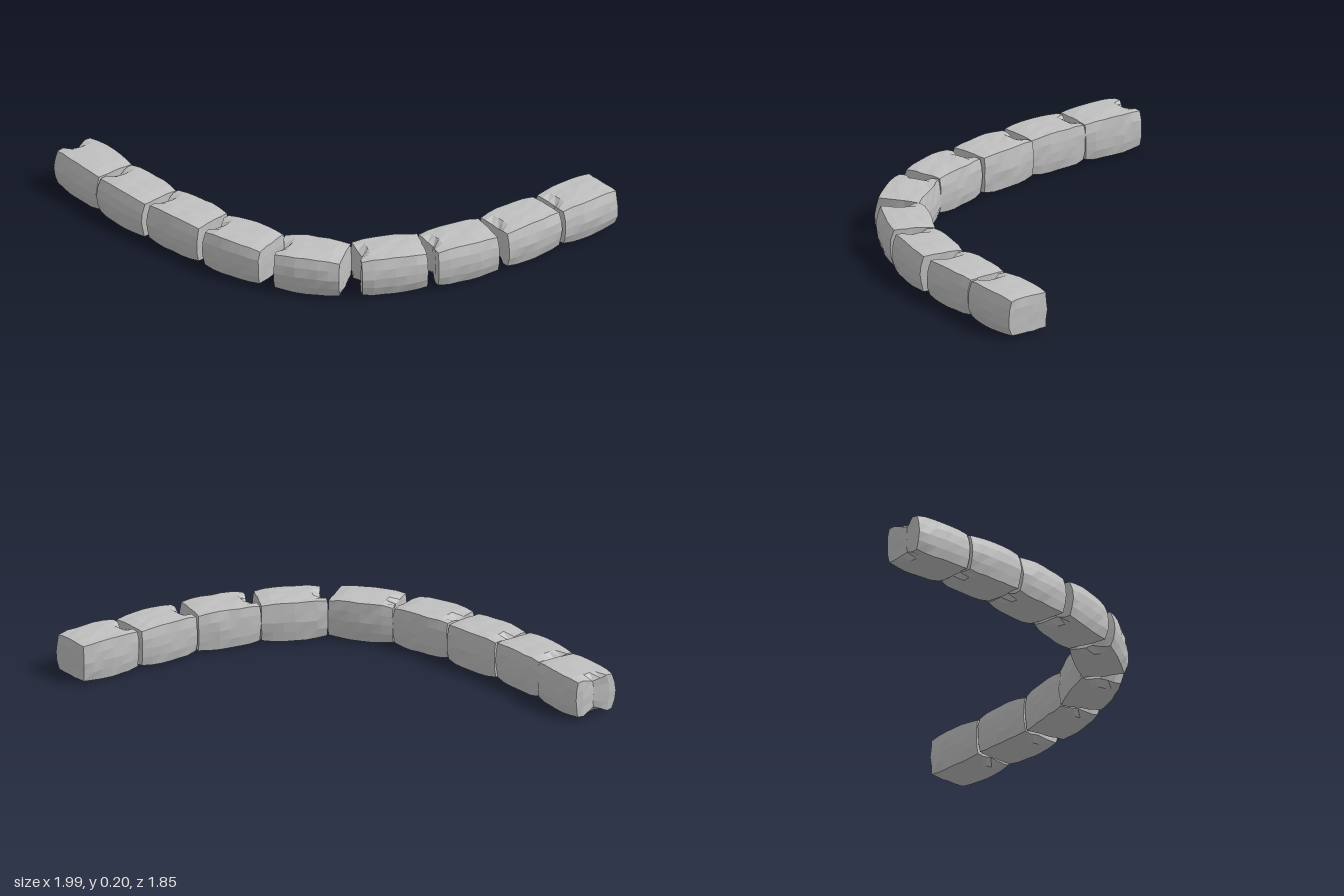
import * as THREE from 'three';

// Repeatable surface roughness in [-1, 1] from a grid position and a block number
function rough(a, b, c, seed) {
  const s = Math.sin(a * 12.99 + b * 78.23 + c * 37.72 + seed * 4.13) * 4375.85;
  return (s - Math.floor(s)) * 2 - 1;
}

// Rough kerb block: length along x, worn bulging side towards +z, groove in the -x end
function blockGeometry(seed) {
  const box = new THREE.BoxGeometry(2, 2, 2, 6, 4, 6);
  const p = box.attributes.position;
  for (let i = 0; i < p.count; i++) {
    const u = p.getX(i), v = p.getY(i), w = p.getZ(i);
    const iu = Math.round(u * 3), iv = Math.round(v * 2), iw = Math.round(w * 3);
    const bow = 1 - u * u;
    const groove = u < -0.9 ? Math.max(0, 1 - Math.abs(w) * 1.5) : 0;
    const taper = 1 - (w > 0 ? 0.17 : 0.08) * v * v;
    const x = 0.161 * u * (1 - 0.015 * v * v) + 0.022 * groove;
    const y = 0.102 + v * (0.1 - 0.009 * u ** 4 - 0.004 * w * w - 0.025 * groove);
    const z = w * (0.113 + 0.011 * bow) * taper;
    p.setXYZ(i,
      x + 0.002 * rough(iu, iv, iw, seed),
      y + 0.002 * rough(iv, iw, iu, seed + 1),
      z + 0.003 * rough(iw, iu, iv, seed + 2));
  }
  // Separate triangles give the faceted look
  const geometry = box.toNonIndexed();
  geometry.computeVertexNormals();
  return geometry;
}

export function createModel() {
  const group = new THREE.Group();
  group.name = 'curvedKerb';
  const stone = new THREE.MeshStandardMaterial({ color: 0xc0c0c0 });
  stone.name = 'greyStone';

  // Centre x, centre z and heading in degrees for each block along the curve
  const blocks = [
    [-0.83, 0.787, -1], [-0.503, 0.79, 2], [-0.173, 0.753, 8],
    [0.168, 0.69, 16], [0.49, 0.535, 35.5], [0.714, 0.246, 65],
    [0.83, -0.08, 78], [0.865, -0.43, 90], [0.872, -0.767, 90],
  ];
  blocks.forEach(([x, z, heading], i) => {
    const block = new THREE.Mesh(blockGeometry(i), stone);
    block.name = `kerbBlock${i + 1}`;
    block.position.set(x, 0, z);
    block.rotation.y = THREE.MathUtils.degToRad(heading);
    group.add(block);
  });
  return group;
}
